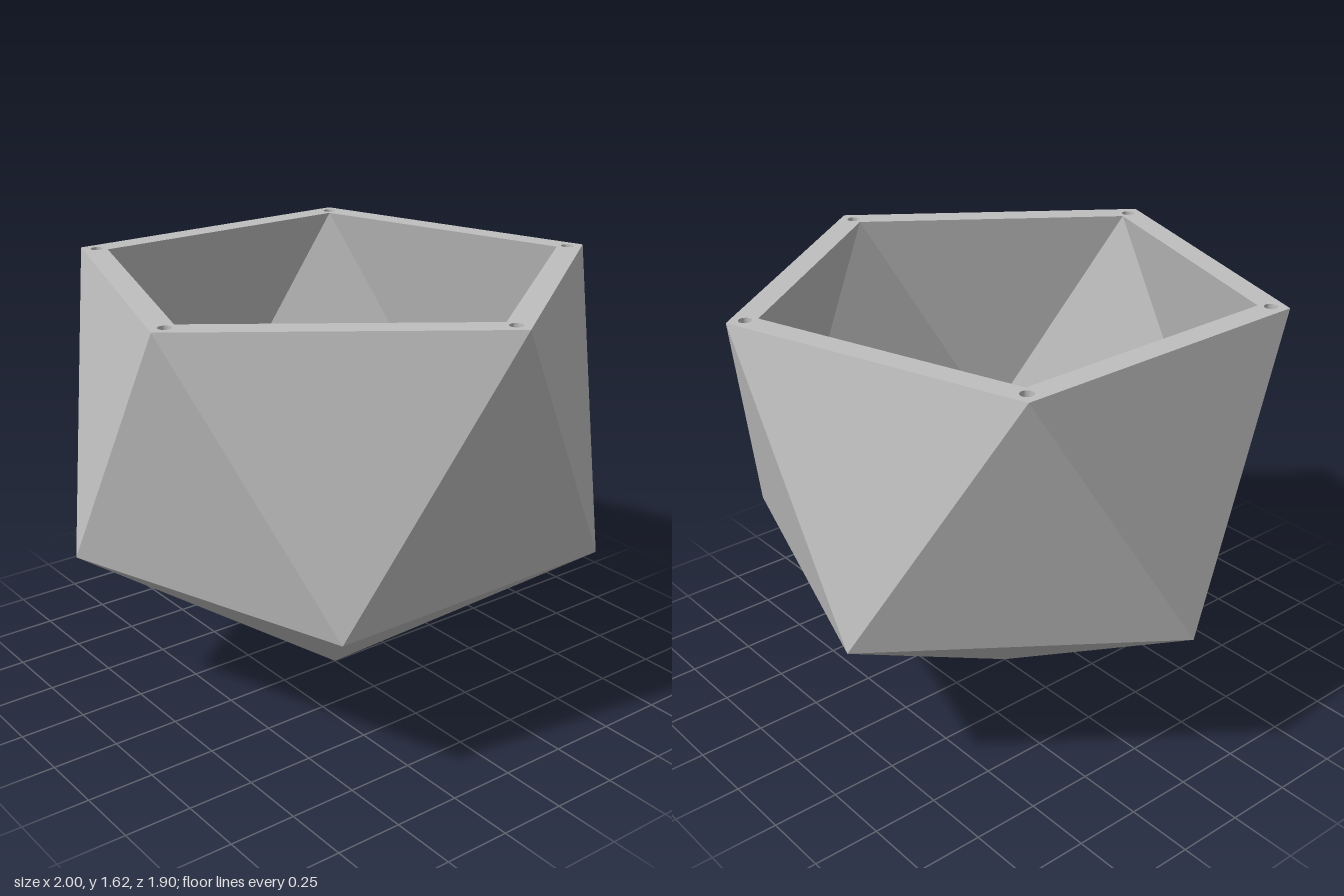
import * as THREE from 'three';
import { toCreasedNormals } from 'three/addons/utils/BufferGeometryUtils.js';

const PHI = (1 + Math.sqrt(5)) / 2;
const CENTRE = PHI - 0.5; // height of the icosahedron's centre
const INNER = 0.89; // inner wall scale
const SIDES = 5;
const angle = (i) => (i * Math.PI * 2) / SIDES;

// Point on a horizontal ring
const ringPoint = (a, radius, y) => new THREE.Vector3(Math.cos(a) * radius, y, Math.sin(a) * radius);

// Open icosahedron: five tip faces and a band of ten, facing out or in
function wallGeometry(radius, topY, lowY, tipY, inward) {
  const positions = [];
  const centre = new THREE.Vector3(0, CENTRE, 0);
  const normal = new THREE.Vector3();
  const middle = new THREE.Vector3();
  const addFace = (a, b, c) => {
    const face = new THREE.Triangle(a, b, c);
    face.getNormal(normal);
    face.getMidpoint(middle).sub(centre);
    const facesOut = normal.dot(middle) > 0;
    const corners = facesOut !== inward ? [a, b, c] : [a, c, b];
    corners.forEach((p) => positions.push(p.x, p.y, p.z));
  };
  const tip = new THREE.Vector3(0, tipY, 0);
  for (let i = 0; i < SIDES; i++) {
    const top = ringPoint(angle(i), radius, topY);
    const topNext = ringPoint(angle(i + 1), radius, topY);
    const low = ringPoint(angle(i + 0.5), radius, lowY);
    const lowNext = ringPoint(angle(i + 1.5), radius, lowY);
    addFace(top, topNext, low);
    addFace(topNext, low, lowNext);
    addFace(low, lowNext, tip);
  }
  const geometry = new THREE.BufferGeometry();
  geometry.setAttribute('position', new THREE.Float32BufferAttribute(positions, 3));
  geometry.computeVertexNormals();
  return geometry;
}

export function createModel() {
  const group = new THREE.Group();
  group.name = 'icosahedronBowl';
  const grey = new THREE.MeshStandardMaterial({ color: 0xbfbfbf });
  grey.name = 'grey';

  const add = (name, geometry) => {
    const mesh = new THREE.Mesh(geometry, grey);
    mesh.name = name;
    group.add(mesh);
    return mesh;
  };

  // Faceted outside and inside walls
  add('outerWall', wallGeometry(1, PHI, PHI - 1, 0, false));
  add('innerWall', wallGeometry(INNER, PHI, CENTRE - 0.5 * INNER, CENTRE * (1 - INNER), true));

  // Flat pentagonal rim with a pin hole at each corner
  const pentagon = (radius) =>
    Array.from({ length: SIDES }, (_, i) =>
      new THREE.Vector2(Math.cos(angle(i)) * radius, Math.sin(angle(i)) * radius));
  const rim = new THREE.Shape(pentagon(1));
  rim.holes.push(new THREE.Path(pentagon(INNER)));
  const holeRadius = 0.024;
  const holeDepth = 0.1;
  const holeCentres = pentagon(0.935);
  holeCentres.forEach((p) => {
    rim.holes.push(new THREE.Path().absarc(p.x, p.y, holeRadius, 0, Math.PI * 2, false));
  });
  const rimGeometry = new THREE.ShapeGeometry(rim, 12);
  rimGeometry.rotateX(-Math.PI / 2);
  add('rim', rimGeometry).position.y = PHI;

  // Blind pin holes: wall, then floor
  const holeProfile = [
    new THREE.Vector2(holeRadius, 0),
    new THREE.Vector2(holeRadius, -holeDepth),
    new THREE.Vector2(0, -holeDepth),
  ];
  const holeGeometry = toCreasedNormals(new THREE.LatheGeometry(holeProfile, 24), 0.8);
  holeCentres.forEach((p, i) => {
    add(`pinHole${i + 1}`, holeGeometry).position.set(p.x, PHI, p.y);
  });

  return group;
}
